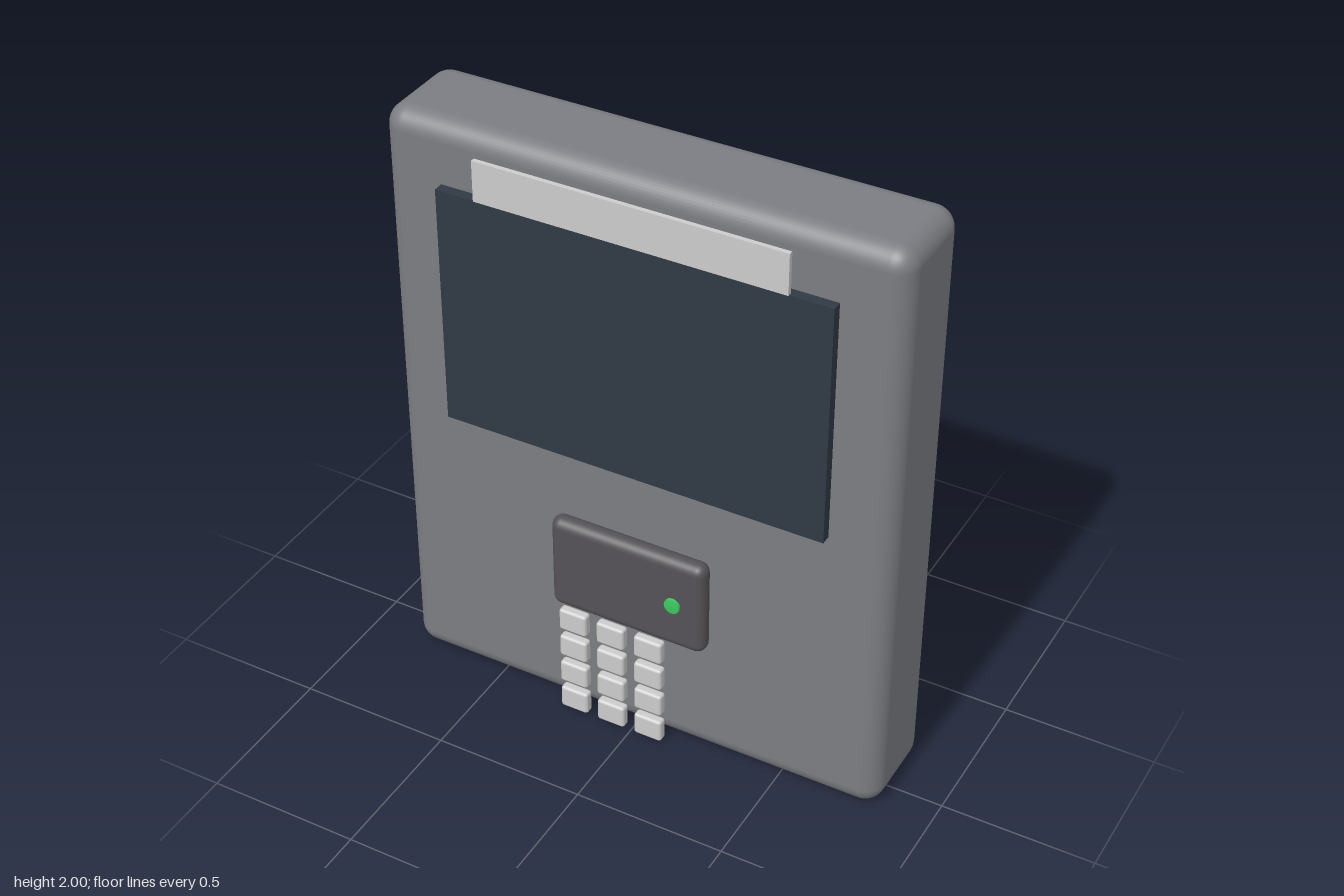
import * as THREE from 'three';
import { RoundedBoxGeometry } from 'three/addons/geometries/RoundedBoxGeometry.js';

const mat = (color) => new THREE.MeshStandardMaterial({ color });

export function createModel() {
  const group = new THREE.Group();
  const casingMat = mat(0x7c7d82);
  const screenMat = mat(0x303a45);
  const readerMat = mat(0x545256);
  const lightMat = mat(0xcccccc);
  const ledMat = mat(0x3cc860);

  const add = (name, geometry, material, x, y, z, parent = group) => {
    const mesh = new THREE.Mesh(geometry, material);
    mesh.name = name;
    mesh.position.set(x, y, z);
    parent.add(mesh);
    return mesh;
  };

  // Wall-mounted housing with soft edges
  add('casing', new RoundedBoxGeometry(1.667, 2, 0.333, 5, 0.067), casingMat, 0, 1, -0.037);

  // Display panel and the thin strip above it
  add('screen', new THREE.BoxGeometry(1.267, 0.8, 0.034), screenMat, 0, 1.4, 0.146);
  add('headerStrip', new THREE.BoxGeometry(1, 0.133, 0.015), lightMat, 0, 1.87, 0.164);

  // Sensor block with a status light
  add('reader', new RoundedBoxGeometry(0.533, 0.333, 0.067, 4, 0.033), readerMat, 0, 0.603, 0.163);
  const ledProfile = [[0.0265, 0], [0.0265, 0.024], [0.024, 0.026], [0, 0.027]]
    .map(([r, h]) => new THREE.Vector2(r, h));
  const led = add('statusLight', new THREE.LatheGeometry(ledProfile, 24), ledMat, 0.164, 0.603, 0.18);
  led.rotation.x = Math.PI / 2;

  // Keypad: four rows of three keys
  const keypad = new THREE.Group();
  keypad.name = 'keypad';
  group.add(keypad);
  const keyGeometry = new RoundedBoxGeometry(0.097, 0.08, 0.034, 3, 0.01);
  for (let row = 0; row < 4; row++) {
    for (let col = 0; col < 3; col++) {
      add('key', keyGeometry, lightMat, -0.201 + col * 0.133, 0.367 - row * 0.1065, 0.163, keypad);
    }
  }
  return group;
}
